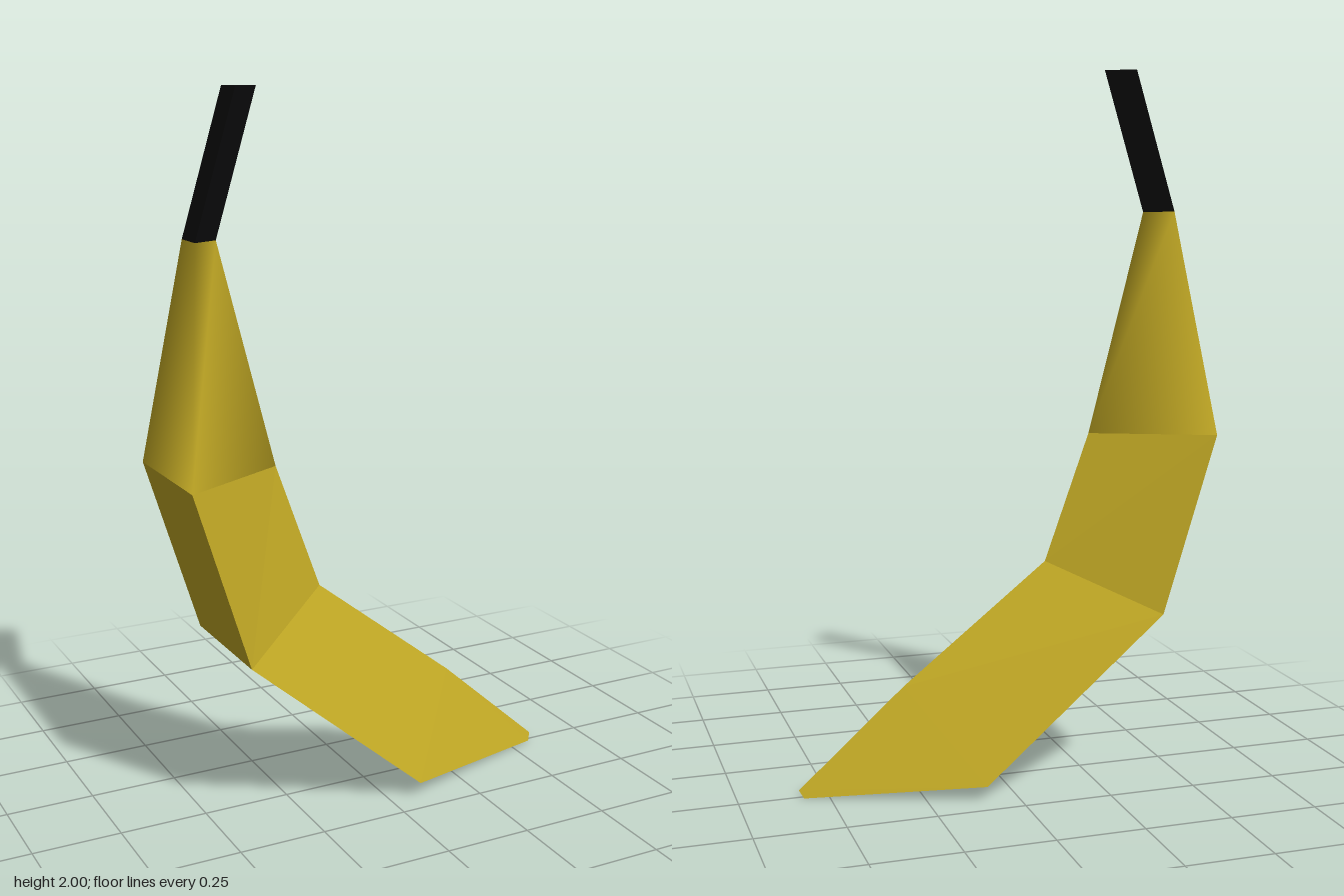
import * as THREE from 'three';

// Triangular cross-sections, bottom to top:
// [outer edge x, outer edge y, half width, inner ridge x, inner ridge y]
const TIP = [0.57, 0.0, 0.013, 0.582, 0.02];
const LOWER = [0.09, 0.04, 0.185, 0.28, 0.29];
const BEND = [-0.43, 0.488, 0.185, -0.14, 0.622];
const SHOULDER = [-0.585, 0.992, 0.185, -0.27, 0.986];
const NECK = [-0.506, 1.612, 0.046, -0.43, 1.61];
const TOP = [-0.387, 2.0, 0.046, -0.31, 2.0];

// Loft a skin through the sections, optionally closing the ends
function loft(sections, { smooth = false, capStart = false, capEnd = false } = {}) {
  const positions = [];
  const index = [];
  for (const [ox, oy, w, rx, ry] of sections) {
    positions.push(ox, oy, -w, ox, oy, w, rx, ry, 0);
  }
  for (let i = 0; i < sections.length - 1; i++) {
    for (let j = 0; j < 3; j++) {
      const a = i * 3 + j;
      const b = i * 3 + ((j + 1) % 3);
      index.push(a, b, b + 3, a, b + 3, a + 3);
    }
  }
  const last = (sections.length - 1) * 3;
  if (capStart) index.push(2, 1, 0);
  if (capEnd) index.push(last, last + 1, last + 2);
  let geometry = new THREE.BufferGeometry();
  geometry.setAttribute('position', new THREE.Float32BufferAttribute(positions, 3));
  geometry.setIndex(index);
  if (!smooth) geometry = geometry.toNonIndexed();
  geometry.computeVertexNormals();
  return geometry;
}

export function createModel() {
  const yellow = new THREE.MeshStandardMaterial({ color: 0xc2a925 });
  yellow.name = 'peelYellow';
  const black = new THREE.MeshStandardMaterial({ color: 0x0a0a0b });
  black.name = 'stemBlack';

  const group = new THREE.Group();
  group.name = 'bentFruit';
  const add = (name, geometry, material) => {
    const mesh = new THREE.Mesh(geometry, material);
    mesh.name = name;
    group.add(mesh);
  };

  // Faceted curved body with its blunt tip
  add('body', loft([TIP, LOWER, BEND, SHOULDER], { capStart: true }), yellow);
  // Smooth-shaded taper towards the stem
  add('neck', loft([SHOULDER, NECK], { smooth: true }), yellow);
  // Thin prism stem
  add('stem', loft([NECK, TOP], { capStart: true, capEnd: true }), black);

  return group;
}
